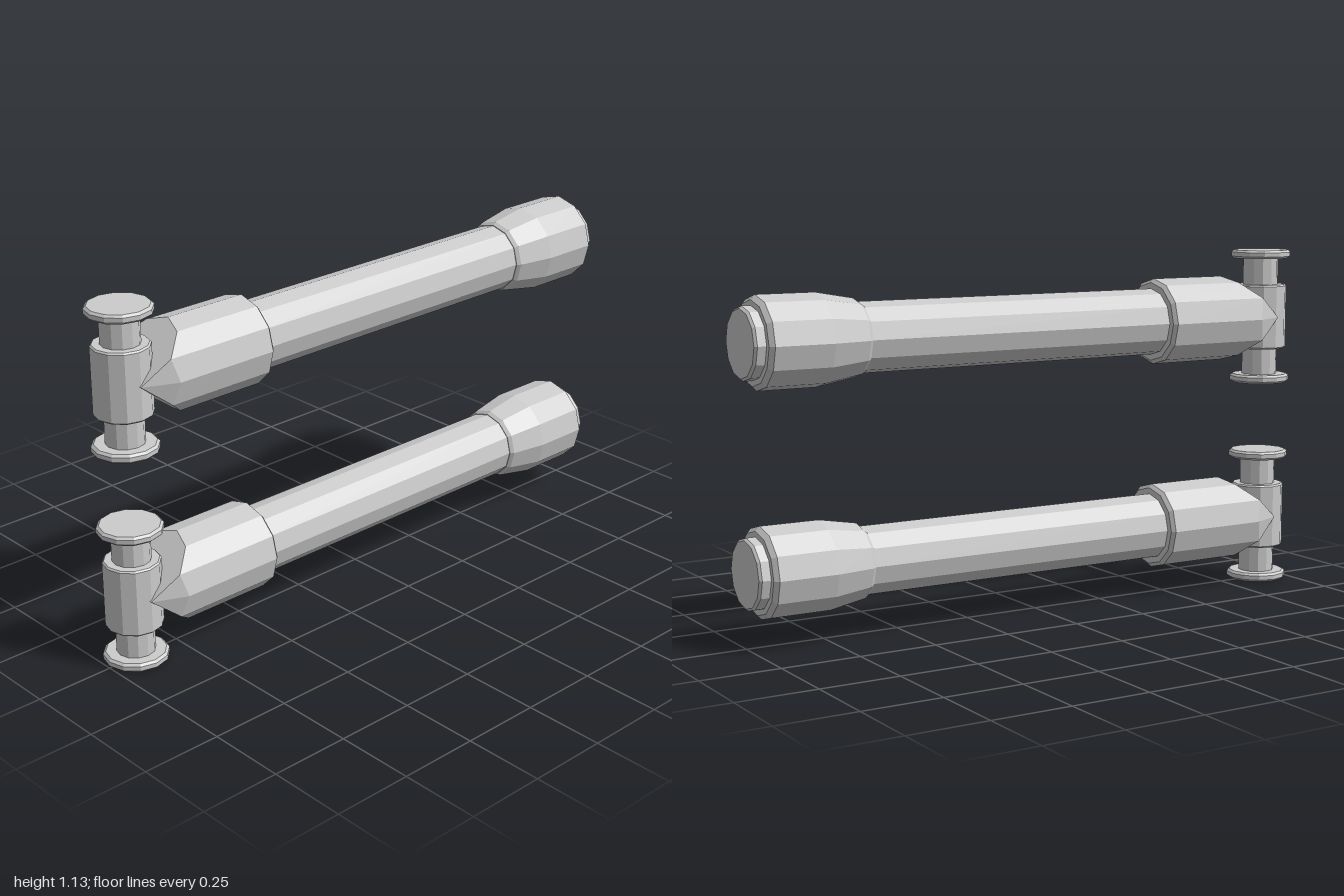
import * as THREE from 'three';
import { ConvexGeometry } from 'three/addons/geometries/ConvexGeometry.js';

const SIDES = 12;
const material = new THREE.MeshStandardMaterial({ color: 0xcccccc, flatShading: true });

// Faceted turned part; profile is [radius, height] pairs from bottom to top
function turned(name, profile) {
  const points = profile.map(([r, h]) => new THREE.Vector2(r, h));
  const mesh = new THREE.Mesh(new THREE.LatheGeometry(points, SIDES), material);
  mesh.name = name;
  return mesh;
}

// Same, but turned around the x axis
function turnedAlongX(name, profile) {
  const mesh = turned(name, profile);
  mesh.rotation.z = -Math.PI / 2;
  return mesh;
}

// Twelve-sided collar whose end is cut to a wedge that bites into the knuckle
function wedgeCollar() {
  const R = 0.14, tip = -0.905, points = [];
  for (let i = 0; i < SIDES; i++) {
    const a = (i / SIDES) * Math.PI * 2;
    const y = Math.cos(a), z = Math.sin(a);
    const cut = Math.max(tip + 1.25 * R * Math.abs(y), -0.8 - 2.1 * R * (1 - Math.abs(z)));
    points.push(
      new THREE.Vector3(cut, R * y, R * z),
      new THREE.Vector3(-0.458, R * y, R * z),
      new THREE.Vector3(-0.447, 0.128 * y, 0.128 * z),
    );
  }
  for (const s of [-1, 1]) points.push(new THREE.Vector3(tip, 0, s * 0.092));
  const mesh = new THREE.Mesh(new ConvexGeometry(points), material);
  mesh.name = 'wedgeCollar';
  return mesh;
}

// Upright hinge: knuckle, pin and a bevelled cap at each end
function createHinge() {
  const hinge = new THREE.Group();
  hinge.name = 'hinge';
  hinge.position.x = -0.9;
  hinge.add(turned('knuckle', [[0, -0.108], [0.083, -0.108], [0.088, -0.103], [0.088, 0.103], [0.083, 0.108], [0, 0.108]]));
  hinge.add(turned('pin', [[0, -0.21], [0.059, -0.21], [0.059, 0.21], [0, 0.21]]));
  for (const s of [-1, 1]) {
    const cap = turned(s > 0 ? 'topCap' : 'bottomCap',
      [[0, -0.014], [0.092, -0.014], [0.1, -0.007], [0.1, 0.007], [0.092, 0.014], [0, 0.014]]);
    cap.position.y = s * 0.21;
    hinge.add(cap);
  }
  return hinge;
}

function createHandle(name, y) {
  const handle = new THREE.Group();
  handle.name = name;
  handle.position.y = y;
  handle.add(createHinge(), wedgeCollar());
  handle.add(turnedAlongX('bar', [[0, -0.5], [0.108, -0.5], [0.108, 0.66], [0, 0.66]]));
  // Flared sleeve at the free end
  handle.add(turnedAlongX('endSleeve', [
    [0, 0.624], [0.11, 0.624], [0.119, 0.636], [0.141, 0.76], [0.141, 0.95], [0.127, 0.964], [0, 0.964],
  ]));
  handle.add(turnedAlongX('endPlug', [[0, 0.94], [0.11, 0.94], [0.11, 0.992], [0.103, 1], [0, 1]]));
  return handle;
}

export function createModel() {
  const model = new THREE.Group();
  model.name = 'hingedHandlePair';
  model.add(createHandle('lowerHandle', 0.224), createHandle('upperHandle', 0.905));
  return model;
}
